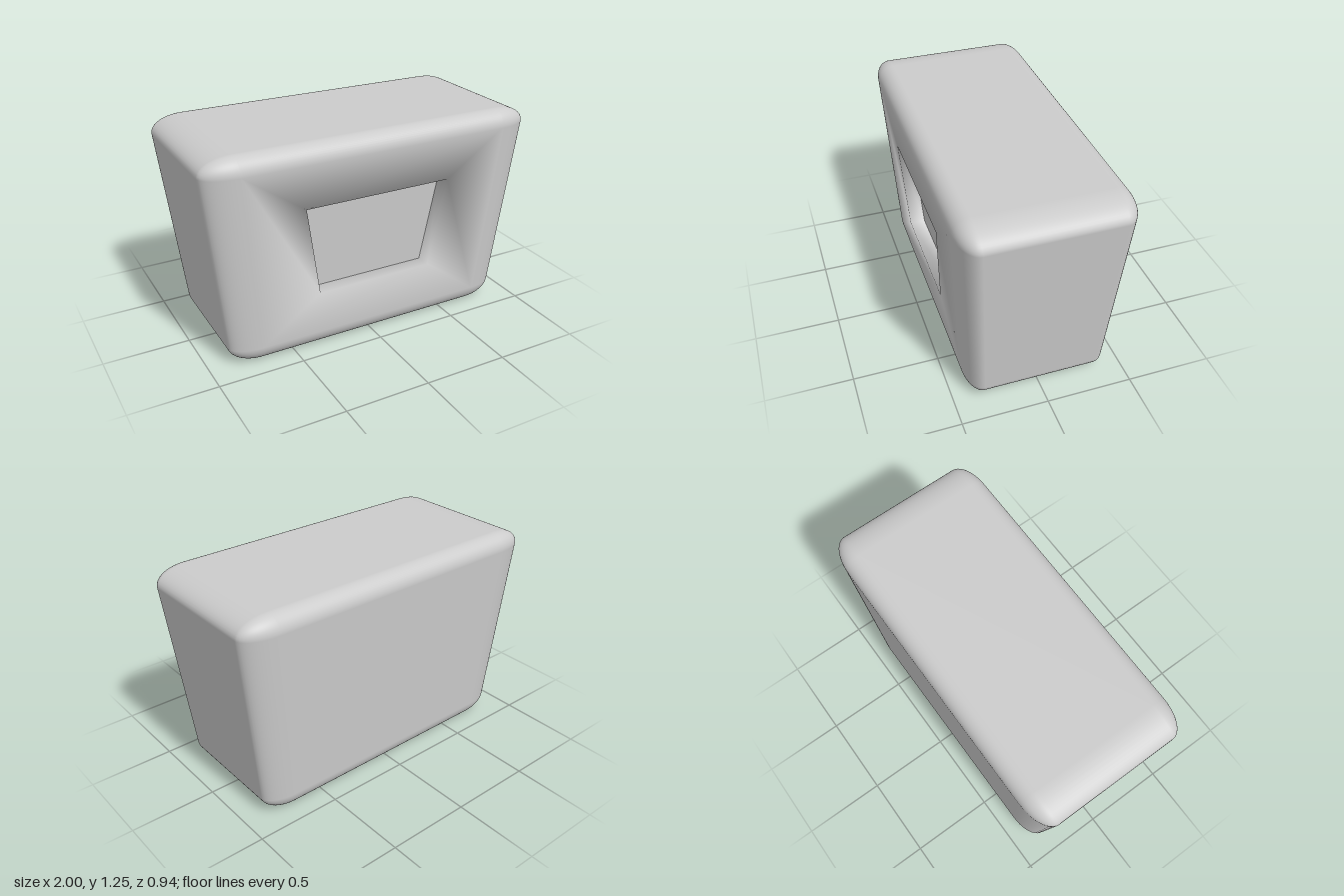
import * as THREE from 'three';
import { RoundedBoxGeometry } from 'three/addons/geometries/RoundedBoxGeometry.js';

const HEIGHT = 1.25, HALF_DEPTH = 0.472, RADIUS = 0.1;
const TOP = HEIGHT - RADIUS, BOTTOM = RADIUS;
const SLOPE = 0.12 / (TOP - BOTTOM);
const taper = (y) => 1 - SLOPE * (TOP - y);
const material = () => new THREE.MeshStandardMaterial({ color: 0xcccccc });

// Rounded block, stretched sideways, narrowing downwards, with the flat front left out
function shellGeometry() {
  const geo = new RoundedBoxGeometry(1, HEIGHT, HALF_DEPTH * 2, 6, RADIUS);
  geo.scale(2, 1, 1).translate(0, HEIGHT / 2, 0);
  const p = geo.attributes.position, n = geo.attributes.normal;
  const pos = [], nor = [];
  for (let i = 0; i < p.count; i += 3) {
    if ([0, 1, 2].every((k) => p.getZ(i + k) > HALF_DEPTH - 1e-5)) continue;
    for (let k = i; k < i + 3; k++) {
      const x = p.getX(k), y = p.getY(k), z = p.getZ(k), s = taper(y);
      const nx = n.getX(k), nz = n.getZ(k);
      pos.push(x * s, y, z * s);
      const v = new THREE.Vector3(nx / s, n.getY(k) - SLOPE * (x * nx + z * nz) / s, nz / s).normalize();
      nor.push(v.x, v.y, v.z);
    }
  }
  const out = new THREE.BufferGeometry();
  out.setAttribute('position', new THREE.Float32BufferAttribute(pos, 3));
  out.setAttribute('normal', new THREE.Float32BufferAttribute(nor, 3));
  return out;
}

const corners = [[-1, -1], [1, -1], [1, 1], [-1, 1]];

// Four corners of a trapezoid on the sloping front, pushed back by depth
function trapezoid(halfBottom, halfTop, y0, y1, depth) {
  return corners.map(([sx, sy]) => {
    const y = sy > 0 ? y1 : y0;
    return new THREE.Vector3(sx * (sy > 0 ? halfTop : halfBottom), y, HALF_DEPTH * taper(y) - depth);
  });
}

// Front ring and recess walls, softly shaded into each other
function frameGeometry(outer, rim, back) {
  const idx = [];
  for (let ring = 0; ring < 8; ring += 4) {
    for (let i = 0; i < 4; i++) {
      const j = (i + 1) % 4;
      const a = ring + i, b = ring + j, c = ring + 4 + j, d = ring + 4 + i;
      idx.push(a, b, c, a, c, d);
    }
  }
  const normals = [
    ...corners.map(() => new THREE.Vector3(0, -HALF_DEPTH * SLOPE, 1)),
    ...corners.map(([sx, sy]) => new THREE.Vector3(-sx, -sy, 1)),
    ...corners.map(([sx, sy]) => new THREE.Vector3(-sx, -sy, 0)),
  ].flatMap((v) => v.normalize().toArray());
  const geo = new THREE.BufferGeometry().setFromPoints([...outer, ...rim, ...back]);
  geo.setAttribute('normal', new THREE.Float32BufferAttribute(normals, 3));
  geo.setIndex(idx);
  return geo;
}

export function createModel() {
  const group = new THREE.Group();
  group.name = 'taperedBlock';
  const add = (name, geo) => {
    const mesh = new THREE.Mesh(geo, material());
    mesh.name = name;
    group.add(mesh);
  };

  const outer = trapezoid(0.8 * taper(BOTTOM), 0.8, BOTTOM, TOP, 0);
  const rim = trapezoid(0.355, 0.445, 0.36, 0.9, 0);
  const back = trapezoid(0.355, 0.445, 0.36, 0.9, 0.09);

  add('shell', shellGeometry());
  add('frontFrame', frameGeometry(outer, rim, back));

  // Flat panel at the back of the recess
  const panel = new THREE.BufferGeometry().setFromPoints(back);
  panel.setIndex([0, 1, 2, 0, 2, 3]);
  panel.computeVertexNormals();
  add('recessPanel', panel);

  return group;
}
